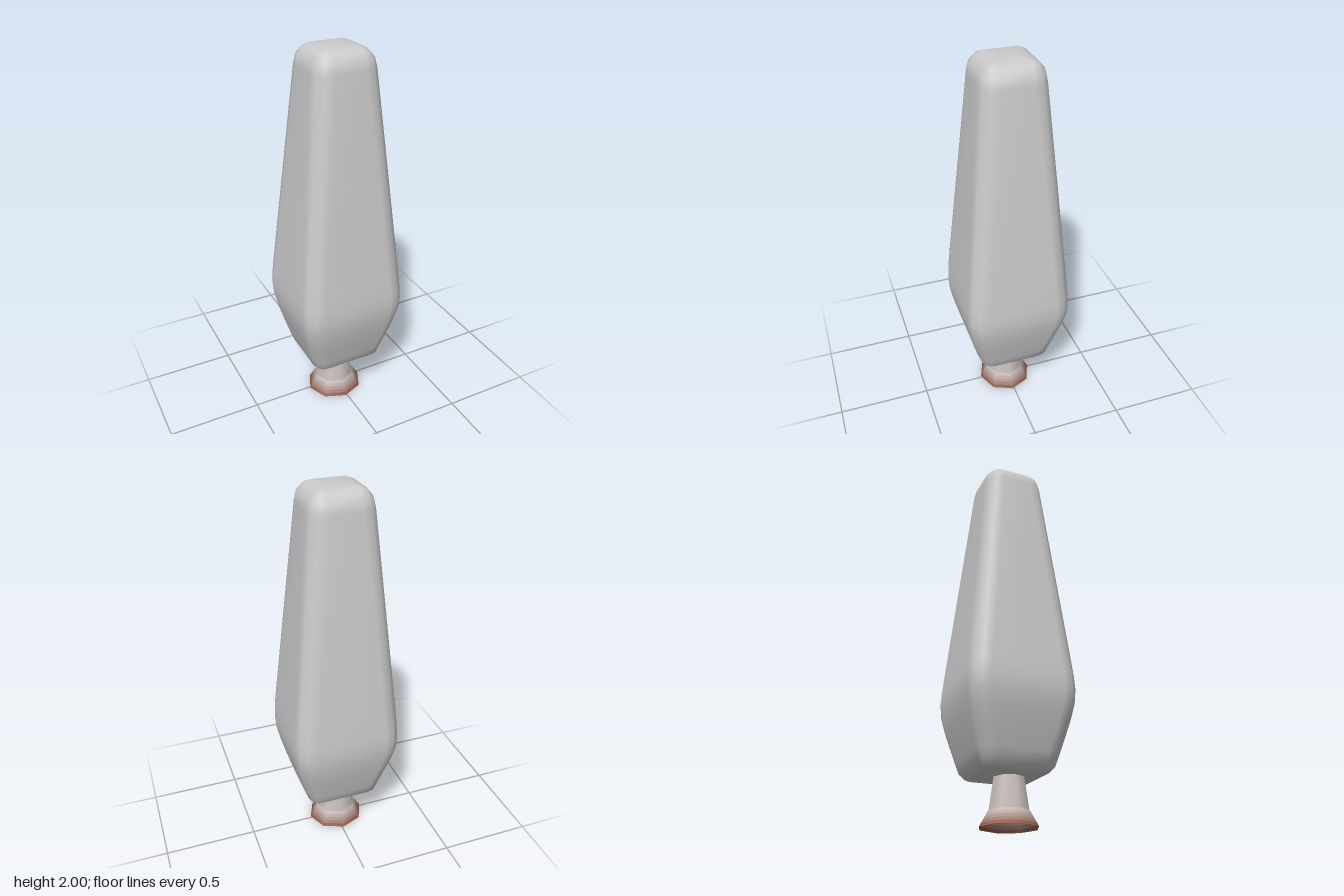
import * as THREE from 'three';

// Crown cross-section: square of half-size core with corners rounded by radius r
function roundedSquare(core, r, y, zScale) {
  const points = [];
  for (let corner = 0; corner < 4; corner++) {
    const mid = Math.PI / 4 + corner * Math.PI / 2;
    const cx = Math.sign(Math.cos(mid)) * core;
    const cz = Math.sign(Math.sin(mid)) * core;
    for (let i = 0; i < 4; i++) {
      const a = corner * Math.PI / 2 + i * Math.PI / 6;
      points.push(cx + r * Math.cos(a), y, (cz + r * Math.sin(a)) * zScale);
    }
  }
  return points;
}

// Joins the rings bottom to top and closes both ends
function loft(rings) {
  const n = rings[0].length / 3;
  const positions = rings.flat();
  const index = [];
  for (let k = 0; k < rings.length - 1; k++) {
    for (let i = 0; i < n; i++) {
      const a = k * n + i, b = k * n + (i + 1) % n;
      index.push(a, a + n, b, b, a + n, b + n);
    }
  }
  const bottom = rings.length * n, top = bottom + 1, last = (rings.length - 1) * n;
  positions.push(0, rings[0][1], 0, 0, rings[rings.length - 1][1], 0);
  for (let i = 0; i < n; i++) {
    const j = (i + 1) % n;
    index.push(bottom, i, j, top, last + j, last + i);
  }
  const geometry = new THREE.BufferGeometry();
  geometry.setAttribute('position', new THREE.Float32BufferAttribute(positions, 3));
  geometry.setIndex(index);
  geometry.computeVertexNormals();
  return geometry;
}

export function createModel() {
  const model = new THREE.Group();
  model.name = 'tree';

  // Crown: [height, core half-size, corner radius]
  const profile = [
    [0.238, 0.135, 0.01], [0.248, 0.135, 0.035], [0.275, 0.133, 0.066], [0.33, 0.133, 0.087],
    [0.42, 0.156, 0.09], [0.5, 0.175, 0.093], [0.58, 0.19, 0.095], [0.65, 0.195, 0.095],
    [0.72, 0.192, 0.094], [0.84, 0.181, 0.094], [1.9, 0.081, 0.09], [1.95, 0.081, 0.078],
    [1.985, 0.081, 0.047], [2.0, 0.081, 0.01],
  ];
  const crown = new THREE.Mesh(
    loft(profile.map(([y, core, r]) => roundedSquare(core, r, y, 0.977))),
    new THREE.MeshStandardMaterial({ color: 0xcccccc })
  );
  crown.name = 'crown';
  model.add(crown);

  // Trunk: hollow eight-sided stem, set slightly off centre
  const trunk = new THREE.Group();
  trunk.name = 'trunk';
  trunk.position.set(-0.01, 0, 0.01);
  trunk.scale.z = 0.95;
  model.add(trunk);

  const addBand = (name, r0, y0, r1, y1, color) => {
    const geometry = new THREE.LatheGeometry([new THREE.Vector2(r0, y0), new THREE.Vector2(r1, y1)], 8);
    const mesh = new THREE.Mesh(geometry, new THREE.MeshStandardMaterial({ color, side: THREE.DoubleSide }));
    mesh.name = name;
    trunk.add(mesh);
  };
  addBand('stem', 0.108, 0.08, 0.08, 0.26, 0xcac2be);

  // Flared foot: bands fading from brown at the ground to the stem colour
  const brown = new THREE.Color(0x8a4526), pale = new THREE.Color(0xcac2be);
  const bands = 5;
  for (let i = 0; i < bands; i++) {
    const t0 = i / bands, t1 = (i + 1) / bands;
    const radius = (t) => THREE.MathUtils.lerp(0.157, 0.108, t);
    addBand('footBand' + (i + 1), radius(t0), t0 * 0.08, radius(t1), t1 * 0.08,
      brown.clone().lerp(pale, (t0 + t1) / 2));
  }
  return model;
}
